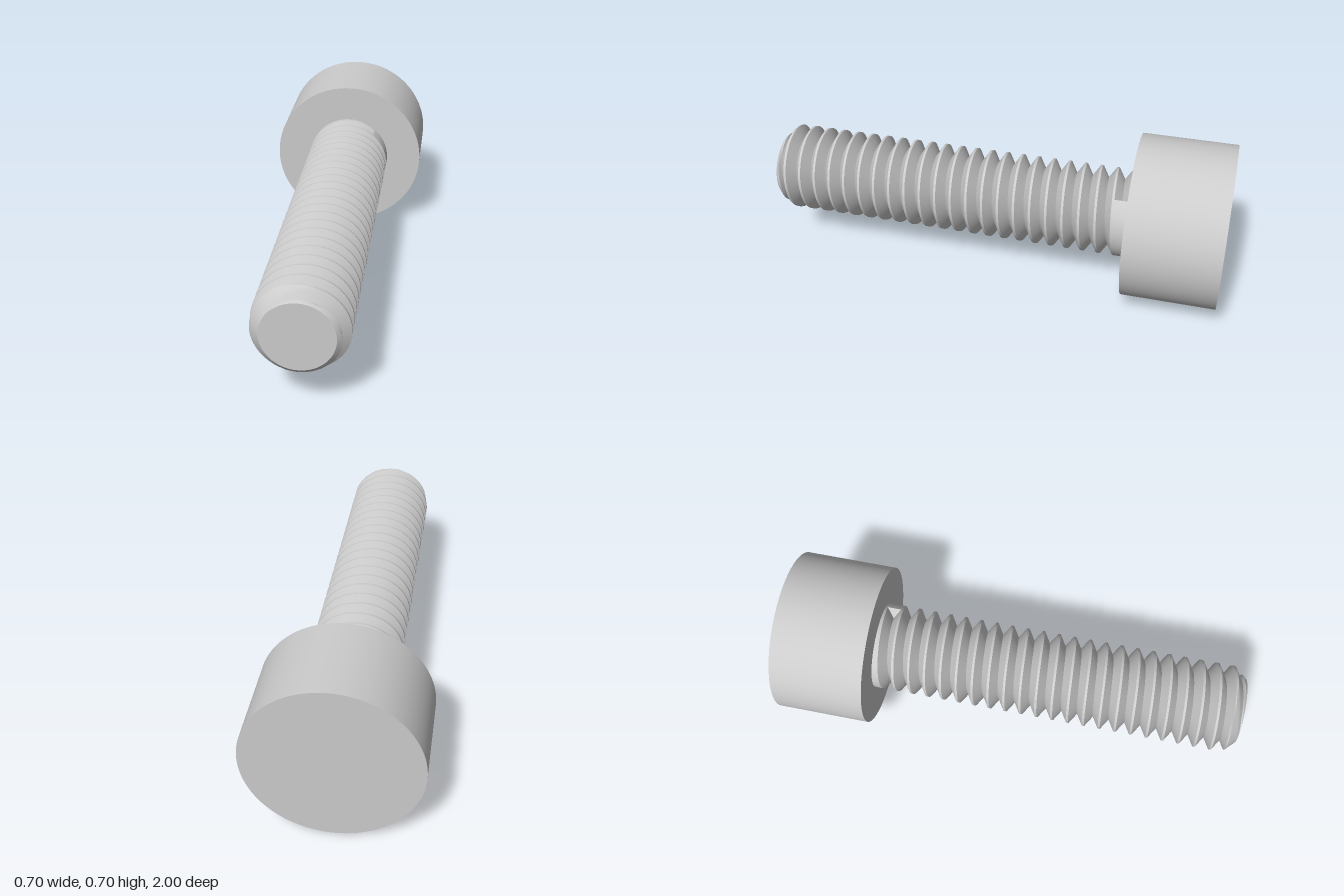
import * as THREE from 'three';
import { toCreasedNormals } from 'three/addons/utils/BufferGeometryUtils.js';

const TAU = Math.PI * 2;
const CREST = 0.19, ROOT = 0.142, PITCH = 0.07, FLANK = 0.03;
const TIP = 1, HEAD_FACE = -0.6, AXIS_Y = 0.35;
const START = 0.84; // angle at which the thread groove begins under the head
const material = new THREE.MeshStandardMaterial({ color: 0xcccccc, roughness: 0.6 });

// Root of the groove along the axis, as a right-handed helix
const grooveZ = (t) => -0.554 + (PITCH * (t - Math.PI / 2)) / TAU;

// Skin over a grid of cylindrical points [angle, radius, z], skipping collapsed faces
function skin(nu, nv, point) {
  const grid = [], out = [];
  for (let i = 0; i <= nu; i++) {
    grid.push([]);
    for (let j = 0; j <= nv; j++) {
      const [t, r, z] = point(i / nu, j / nv);
      grid[i].push(new THREE.Vector3(r * Math.cos(t), r * Math.sin(t), z));
    }
  }
  const tri = new THREE.Triangle();
  const add = (a, b, c) => {
    if (tri.set(a, b, c).getArea() > 1e-9) for (const p of [a, b, c]) out.push(p.x, p.y, p.z);
  };
  for (let i = 0; i < nu; i++) {
    for (let j = 0; j < nv; j++) {
      const a = grid[i][j], b = grid[i + 1][j], c = grid[i + 1][j + 1], d = grid[i][j + 1];
      add(a, b, c);
      add(a, c, d);
    }
  }
  const geometry = new THREE.BufferGeometry();
  geometry.setAttribute('position', new THREE.Float32BufferAttribute(out, 3));
  return toCreasedNormals(geometry, 0.5);
}

// V groove profile: s runs along the axis from the groove's lower edge
function grooveRadius(s) {
  return ROOT + (CREST - ROOT) * Math.min(1, Math.abs(s - FLANK) / FLANK);
}

export function createModel() {
  const screw = new THREE.Group();
  screw.name = 'screw';
  const addPart = (name, geometry) => {
    const mesh = new THREE.Mesh(geometry, material);
    mesh.name = name;
    screw.add(mesh);
    return mesh;
  };

  // Plain cylindrical head
  const head = addPart('head', new THREE.CylinderGeometry(0.35, 0.35, 0.4, 128));
  head.rotation.x = Math.PI / 2;
  head.position.z = -0.8;

  // Thread: one groove and crest swept along the helix, cut by the tip chamfer
  const turns = 23, segments = 68;
  addPart('thread', skin(turns * segments, 14, (u, v) => {
    const t = START + u * turns * TAU;
    const s = v * PITCH;
    const z = Math.min(TIP, grooveZ(t) - FLANK + s);
    return [t, Math.min(grooveRadius(s), ROOT + TIP - z), z];
  }));

  // Unthreaded neck between the head and the first turn of the groove
  addPart('neck', skin(segments, 1, (u, v) => {
    const t = START + u * TAU;
    return [t, CREST, THREE.MathUtils.lerp(HEAD_FACE, grooveZ(t) - FLANK, v)];
  }));

  // Wall where the groove stops
  addPart('grooveEnd', skin(2, 1, (u, v) => {
    const s = u * 2 * FLANK;
    return [START, THREE.MathUtils.lerp(grooveRadius(s), CREST, v), grooveZ(START) - FLANK + s];
  }));

  // Flat end of the shaft
  addPart('tip', new THREE.CircleGeometry(ROOT, 96)).position.z = TIP;

  screw.children.forEach((part) => { part.position.y = AXIS_Y; });
  return screw;
}
